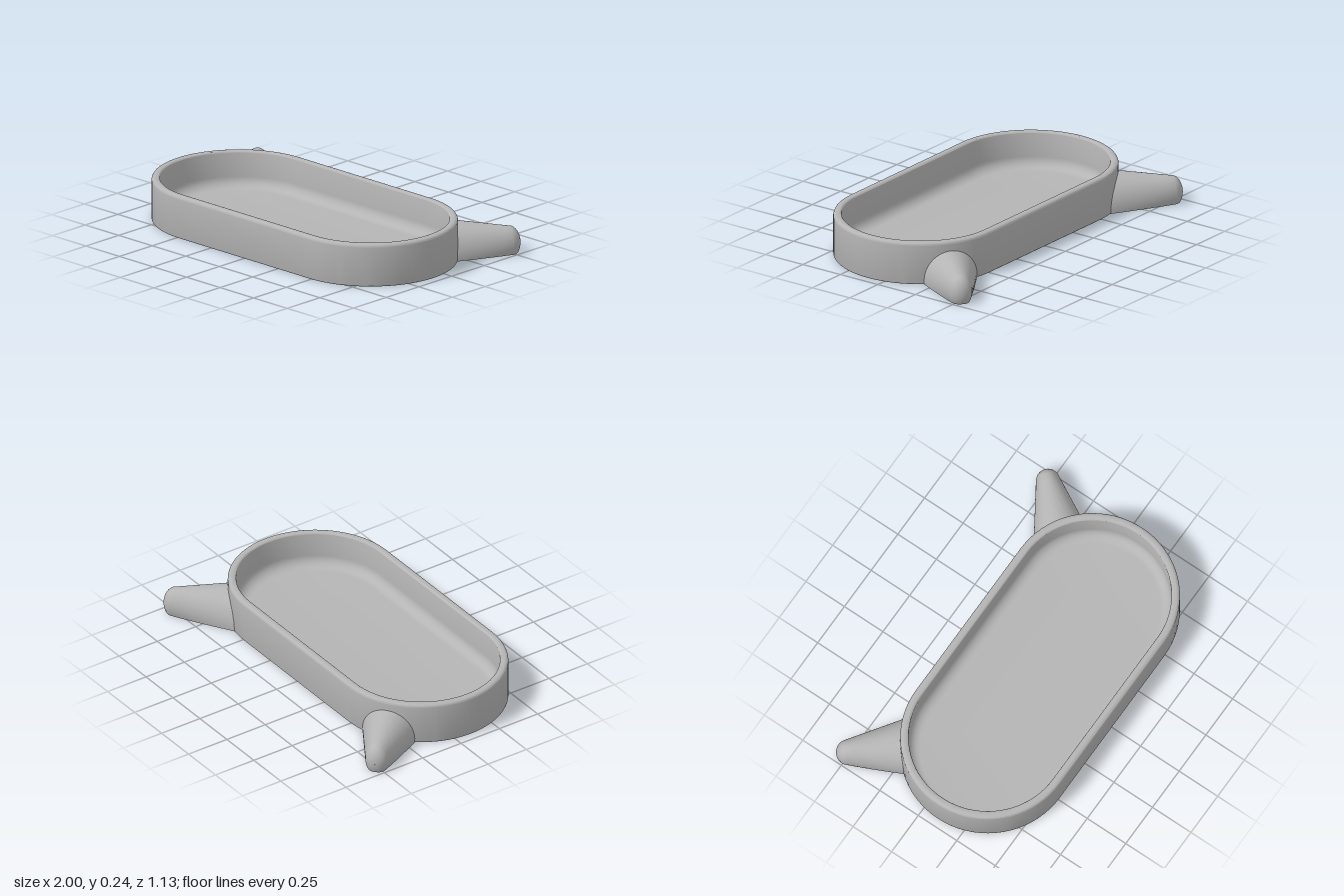
import * as THREE from 'three';
import { toCreasedNormals } from 'three/addons/utils/BufferGeometryUtils.js';

const R = 0.467, HALF = 0.49, CZ = 0.097, H = 0.237;   // tray end radius, half straight, centre z, height
const WALL = 0.045, FLOOR = 0.035;

// Skin a list of closed rings (each an array of [x, y, z])
function loft(rings) {
  const n = rings[0].length, index = [];
  for (let i = 0; i < rings.length - 1; i++) {
    for (let j = 0; j < n; j++) {
      const a = i * n + j, b = i * n + (j + 1) % n;
      index.push(a, a + n, b + n, a, b + n, b);
    }
  }
  const geo = new THREE.BufferGeometry();
  geo.setAttribute('position', new THREE.Float32BufferAttribute(rings.flat(2), 3));
  geo.setIndex(index);
  return toCreasedNormals(geo, 0.6);
}

// Points of a circular arc in the (radius, height) plane
function arc(cx, cy, r, from, to, steps = 6) {
  return Array.from({ length: steps + 1 }, (_, i) => {
    const a = from + (to - from) * i / steps;
    return [cx + r * Math.cos(a), cy + r * Math.sin(a)];
  });
}

// Stadium-shaped ring at a given radius and height
function stadium(r, y, steps = 36) {
  const ring = [];
  for (const side of [1, -1]) {
    for (let i = 0; i <= steps; i++) {
      const a = Math.PI * (i / steps - side / 2);
      ring.push([side * HALF + r * Math.cos(a), y, CZ + r * Math.sin(a)]);
    }
  }
  return ring;
}

function trayGeometry() {
  const q = Math.PI / 2, inner = R - WALL, lip = 0.018, foot = 0.007, fillet = 0.06;
  const profile = [
    [0, 0],
    ...arc(R - foot, foot, foot, -q, 0, 3),
    ...arc(R - lip, H - lip, lip, 0, q),
    ...arc(inner + 0.012, H - 0.012, 0.012, q, 2 * q),
    ...arc(inner - fillet, FLOOR + fillet, fillet, 0, -q, 8),
    [0, FLOOR],
  ];
  return loft(profile.map(([r, y]) => stadium(r, y)));
}

// Tapered foot with a rounded tip and a flat underside, ending inside the tray wall
function footGeometry(side) {
  const N = 40, tipX = 0.935 * side, tipZ = -0.5, wx = 0.673 * side, wz = -0.74;
  const point = (d, rx, ry, cy, t) => {
    const low = -Math.asin(Math.min(1, cy / ry));
    const a = low + (Math.PI - 2 * low) * t;
    const u = rx * Math.cos(a);
    return [tipX - d * wx - u * wz, Math.max(0, cy + ry * Math.sin(a)), tipZ - d * wz + u * wx];
  };
  const cone = (d, t) =>
    point(d, 0.067 + 0.268 * d, 0.093 + 0.24 * d, Math.max(0, 0.055 - 0.122 * d), t);
  const start = -0.017;

  // Distance along the foot at which each side line enters the wall
  const reach = Array.from({ length: N + 1 }, (_, j) => {
    let lo = 0, hi = 0.6;
    for (let k = 0; k < 30; k++) {
      const mid = (lo + hi) / 2, [x, , z] = cone(mid, j / N);
      if (Math.hypot(Math.max(Math.abs(x) - HALF, 0), z - CZ) > R - 0.02) lo = mid;
      else hi = mid;
    }
    return lo;
  });

  const rings = [];
  for (let k = 8; k >= 0; k--) {
    rings.push(reach.map((d, j) => cone(start + (d - start) * k / 8, j / N)));
  }
  for (let k = 1; k <= 10; k++) {
    const phi = THREE.MathUtils.degToRad(15 + 74.9 * k / 10), c = Math.cos(phi);
    rings.push(reach.map((_, j) =>
      point(-0.065 * Math.sin(phi), 0.065 * c, 0.092 * c, 0.057, j / N)));
  }
  return loft(rings);
}

export function createModel() {
  const group = new THREE.Group();
  group.name = 'trayWithFeet';
  const grey = new THREE.MeshStandardMaterial({ color: 0xb4b4b4 });
  grey.name = 'grey';

  const add = (name, geometry) => {
    const mesh = new THREE.Mesh(geometry, grey);
    mesh.name = name;
    group.add(mesh);
  };
  add('tray', trayGeometry());
  add('leftFoot', footGeometry(1));
  add('rightFoot', footGeometry(-1));
  return group;
}
